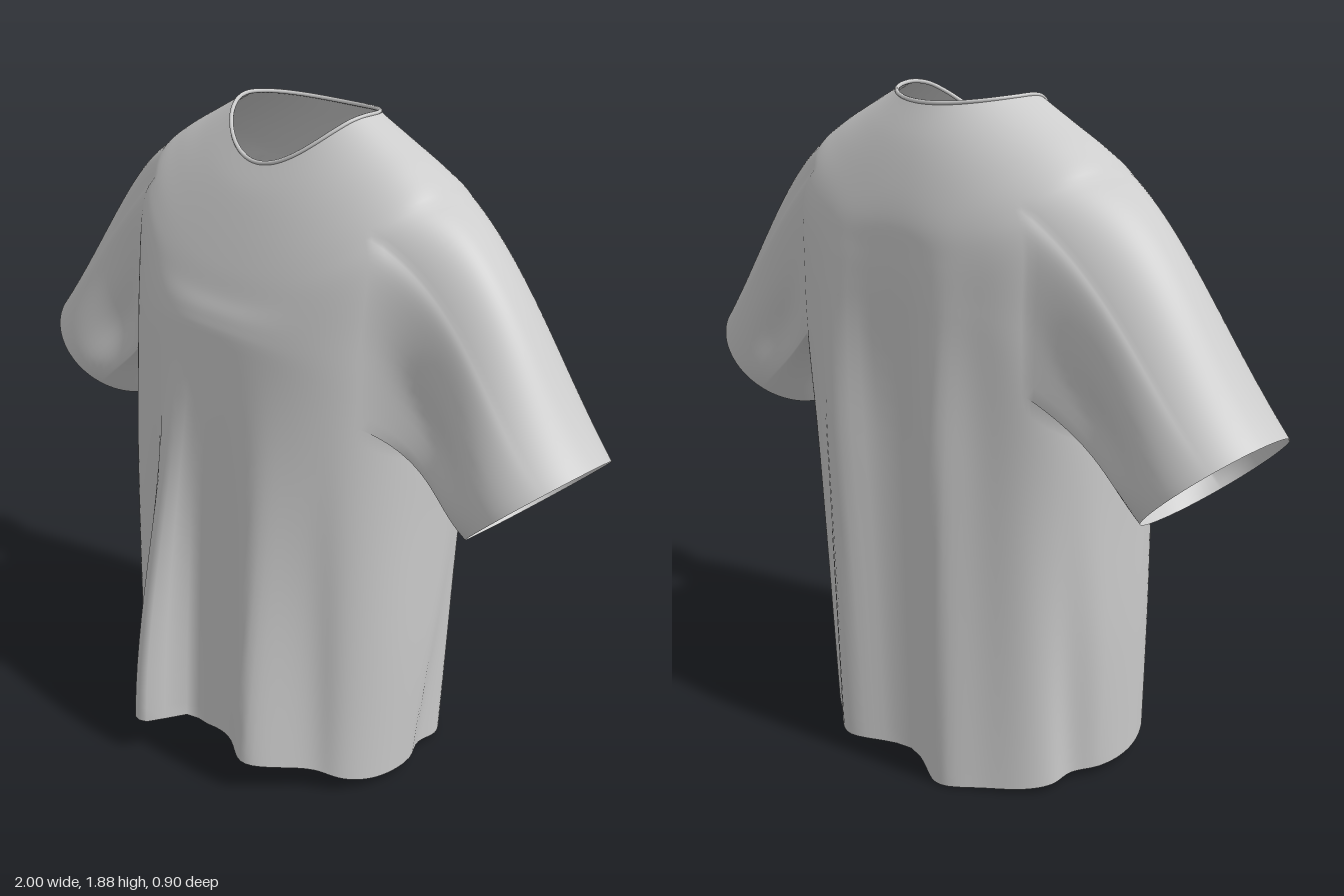
import * as THREE from 'three';

const COLS = 144, SUB = 6, SLEEVE_ROWS = 24;
const HOLE = [22, 53]; // armhole columns on the left side

// Rings from neck to hem: half width, front z, back z, front y, side y, back y,
// front squareness, back squareness (1 is an ellipse, smaller is boxier)
const RINGS = [
  [0.22, 0.07, -0.28, 1.742, 1.872, 1.85, 1.0, 1.0],
  [0.32, 0.11, -0.33, 1.67, 1.82, 1.76, 0.97, 0.95],
  [0.42, 0.15, -0.37, 1.58, 1.765, 1.66, 0.92, 0.86],
  [0.495, 0.19, -0.40, 1.48, 1.705, 1.56, 0.87, 0.75], // shoulder
  [0.53, 0.215, -0.41, 1.41, 1.61, 1.48, 0.83, 0.66],
  [0.525, 0.24, -0.415, 1.35, 1.34, 1.40, 0.8, 0.62],
  [0.525, 0.255, -0.415, 1.26, 1.075, 1.28, 0.8, 0.62], // armpit
  [0.515, 0.28, -0.41, 0.92, 0.80, 0.90, 0.8, 0.65],
  [0.505, 0.295, -0.405, 0.52, 0.42, 0.45, 0.8, 0.7],
  [0.485, 0.31, -0.40, 0.12, 0.025, 0.0, 0.8, 0.72],
];
const TOP = 3 * SUB, BOTTOM = 6 * SUB; // armhole rows
const ROWS = (RINGS.length - 1) * SUB;

const curves = RINGS[0].map((_, k) =>
  new THREE.SplineCurve(RINGS.map((r, i) => new THREE.Vector2(i, r[k]))));
const bump = (x, centre, width, p = 2) => Math.exp(-(Math.abs((x - centre) / width) ** p));
const power = (v, e) => Math.sign(v) * Math.abs(v) ** e;

// Point on the torso, with draped folds growing toward the hem
function torsoPoint(row, col) {
  const [hw, zf, zb, yf, ys, yb, ef, eb] = curves.map(c => c.getPoint(row / ROWS).y);
  const a = (col / COLS) * Math.PI * 2, c = Math.cos(a), s = Math.sin(a);
  const e = c > 0 ? ef : eb;
  let x = hw * power(s, e);
  let z = (zf + zb) / 2 + ((zf - zb) / 2) * power(c, e);
  const y = ys + ((c > 0 ? yf : yb) - ys) * c * c;
  const low = 1 - THREE.MathUtils.smoothstep(y, 0.1, 1.3);
  const back = 1 - THREE.MathUtils.smoothstep(y, 0.9, 1.65);
  const facing = THREE.MathUtils.smoothstep(Math.abs(c), 0.1, 0.5);
  if (c > 0) {
    z += facing * low * (0.145 * bump(x, -0.125, 0.068, 3) - 0.04 * bump(x, -0.24, 0.05)
      + 0.075 * bump(x, 0.21 + 0.03 * (1 - y), 0.08) + 0.012 * bump(x, 0.02, 0.05)
      - 0.02 * bump(x, 0.37, 0.05));
  } else {
    z += facing * back * (0.035 * bump(x, 0, 0.09)
      - 0.05 * (bump(x, 0.2, 0.085) + bump(x, -0.2, 0.085)));
  }
  // slanted fold on each flank
  x -= Math.sign(s) * 0.04 * low * bump(z, -0.17 - 0.13 * y, 0.07) * (1 - facing * 0.5);
  return new THREE.Vector3(x, y, z);
}

// Point on a sleeve, running from the armhole edge to the cuff
function sleevePoint(root, side, t) {
  const a = Math.atan2((root.y - 1.38) / 0.32, (root.z + 0.1) / 0.24);
  const c = Math.cos(a), s = Math.sin(a);
  const cuff = new THREE.Vector3(side * (0.845 + 0.155 * s), 0.99 + 0.14 * s, -0.105 + 0.21 * c);
  const h = t * (1 - t) * (1 - t);
  const p = root.clone().lerp(cuff, t);
  const up = Math.max(0, s);
  p.x += side * h * (0.12 * up + 0.1 * Math.abs(c));
  p.y += h * 0.28 * up * up;
  p.z -= h * (c > 0 ? 0.36 : 0.15) * c;
  // soft creases above the armpit
  p.z -= Math.sign(c) * 0.025 * bump(s, -0.25, 0.3) * Math.sin(Math.PI * t) ** 2;
  return p;
}

function buildCloth() {
  const points = [], index = [];
  const id = (r, c) => r * COLS + ((c + COLS) % COLS);
  const holes = [[1, HOLE[0], HOLE[1]], [-1, COLS - HOLE[1], COLS - HOLE[0]]];

  // Torso with two open armholes
  for (let r = 0; r <= ROWS; r++)
    for (let c = 0; c < COLS; c++) points.push(torsoPoint(r, c));
  for (let r = 0; r < ROWS; r++)
    for (let c = 0; c < COLS; c++) {
      if (r >= TOP && r < BOTTOM && holes.some(([, a, b]) => c >= a && c < b)) continue;
      const p = id(r, c), q = id(r, c + 1), u = id(r + 1, c), v = id(r + 1, c + 1);
      index.push(p, u, v, p, v, q);
    }

  // Sleeves grown from the armhole edges
  for (const [side, a, b] of holes) {
    let loop = [];
    for (let c = a; c < b; c++) loop.push(id(TOP, c));
    for (let r = TOP; r < BOTTOM; r++) loop.push(id(r, b));
    for (let c = b; c > a; c--) loop.push(id(BOTTOM, c));
    for (let r = BOTTOM; r > TOP; r--) loop.push(id(r, a));
    const roots = loop.map(i => points[i]);
    for (let k = 1; k <= SLEEVE_ROWS; k++) {
      const next = roots.map(p => points.push(sleevePoint(p, side, k / SLEEVE_ROWS)) - 1);
      for (let i = 0; i < loop.length; i++) {
        const j = (i + 1) % loop.length;
        index.push(loop[i], next[i], next[j], loop[i], next[j], loop[j]);
      }
      loop = next;
    }
  }

  // Drop the points inside the armholes, which no face uses
  const remap = new Map(), used = [];
  const compact = index.map(i => {
    if (!remap.has(i)) { remap.set(i, used.length); used.push(points[i]); }
    return remap.get(i);
  });
  const geometry = new THREE.BufferGeometry().setFromPoints(used);
  geometry.setIndex(compact);
  geometry.computeVertexNormals();
  return geometry;
}

export function createModel() {
  const group = new THREE.Group();
  group.name = 'tShirt';
  const cloth = new THREE.MeshStandardMaterial({ color: 0xcccccc, side: THREE.DoubleSide });
  cloth.name = 'light grey cloth';

  const body = new THREE.Mesh(buildCloth(), cloth);
  body.name = 'bodyAndSleeves';
  group.add(body);

  // Rolled edge around the neck opening
  const neck = [];
  for (let c = 0; c < COLS; c += 6) neck.push(torsoPoint(0, c));
  const collar = new THREE.Mesh(
    new THREE.TubeGeometry(new THREE.CatmullRomCurve3(neck, true), 96, 0.006, 8, true), cloth);
  collar.name = 'collar';
  group.add(collar);
  return group;
}
